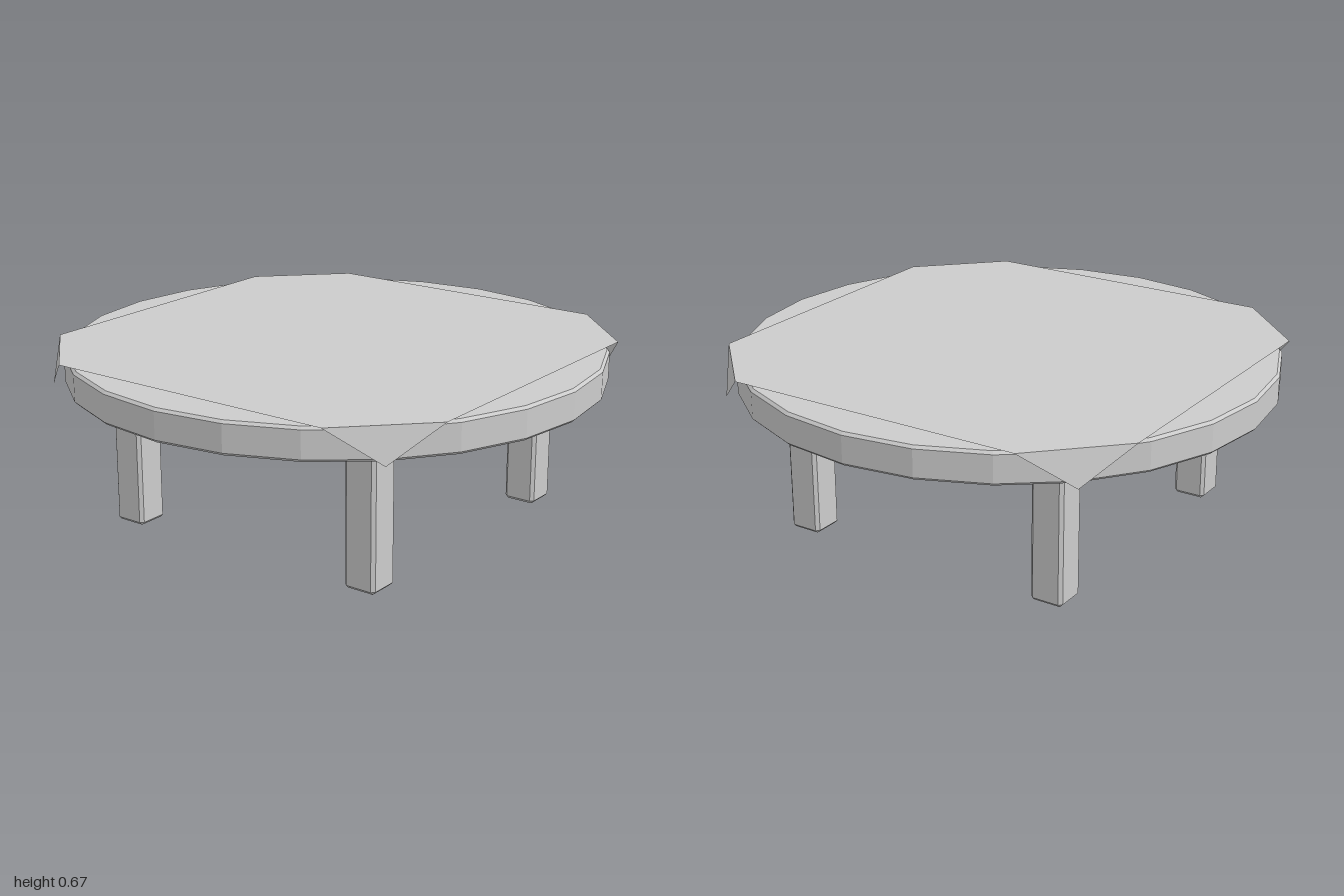
import * as THREE from 'three';
import { ConvexGeometry } from 'three/addons/geometries/ConvexGeometry.js';

const grey = () => new THREE.MeshStandardMaterial({ color: 0xcccccc, flatShading: true });

function addMesh(parent, name, geometry, material) {
  const mesh = new THREE.Mesh(geometry, material);
  mesh.name = name;
  parent.add(mesh);
  return mesh;
}

// Box with every edge cut by a chamfer c
function chamferedBox(w, h, d, c) {
  const points = [];
  for (const sx of [-1, 1]) for (const sy of [-1, 1]) for (const sz of [-1, 1]) {
    const x = w / 2, y = h / 2, z = d / 2;
    points.push(
      new THREE.Vector3(sx * x, sy * (y - c), sz * (z - c)),
      new THREE.Vector3(sx * (x - c), sy * y, sz * (z - c)),
      new THREE.Vector3(sx * (x - c), sy * (y - c), sz * z));
  }
  return new ConvexGeometry(points);
}

export function createModel() {
  const table = new THREE.Group();
  table.name = 'roundTable';
  const wood = grey();
  const fabric = grey();
  fabric.side = THREE.DoubleSide;

  // Round top: 24-sided disc with chamfered rims
  const profile = [[0, 0.54], [0.99, 0.54], [1, 0.55], [1, 0.65], [0.99, 0.66], [0, 0.66]]
    .map(([r, y]) => new THREE.Vector2(r, y));
  addMesh(table, 'tableTop', new THREE.LatheGeometry(profile, 24), wood);

  // Four square legs, their upper ends sunk into the top
  const legHeight = 0.56;
  const legGeometry = chamferedBox(0.126, legHeight, 0.126, 0.012);
  for (const sx of [-1, 1]) for (const sz of [-1, 1]) {
    const name = (sz > 0 ? 'front' : 'back') + (sx > 0 ? 'Left' : 'Right') + 'Leg';
    addMesh(table, name, legGeometry, wood).position.set(sx * 0.527, legHeight / 2, sz * 0.527);
  }

  // Tablecloth: thin square sheet folded down at its corners
  const cloth = new THREE.Group();
  cloth.name = 'tablecloth';
  table.add(cloth);
  const edge = 0.86, fold = 0.575, clothY = 0.67, tip = 0.737, tipY = 0.54;
  const outline = new THREE.Shape([
    [edge, -fold], [edge, fold], [fold, edge], [-fold, edge],
    [-edge, fold], [-edge, -fold], [-fold, -edge], [fold, -edge],
  ].map(([x, y]) => new THREE.Vector2(x, y)));
  const sheet = new THREE.ShapeGeometry(outline).rotateX(-Math.PI / 2).translate(0, clothY, 0);
  addMesh(cloth, 'clothSheet', sheet, fabric);

  // Hanging triangular corners
  const flap = new THREE.BufferGeometry().setFromPoints([
    new THREE.Vector3(fold, clothY, edge),
    new THREE.Vector3(tip, tipY, tip),
    new THREE.Vector3(edge, clothY, fold),
  ]);
  flap.computeVertexNormals();
  for (let i = 0; i < 4; i++) {
    addMesh(cloth, 'clothCorner', flap, fabric).rotation.y = i * Math.PI / 2;
  }

  return table;
}
